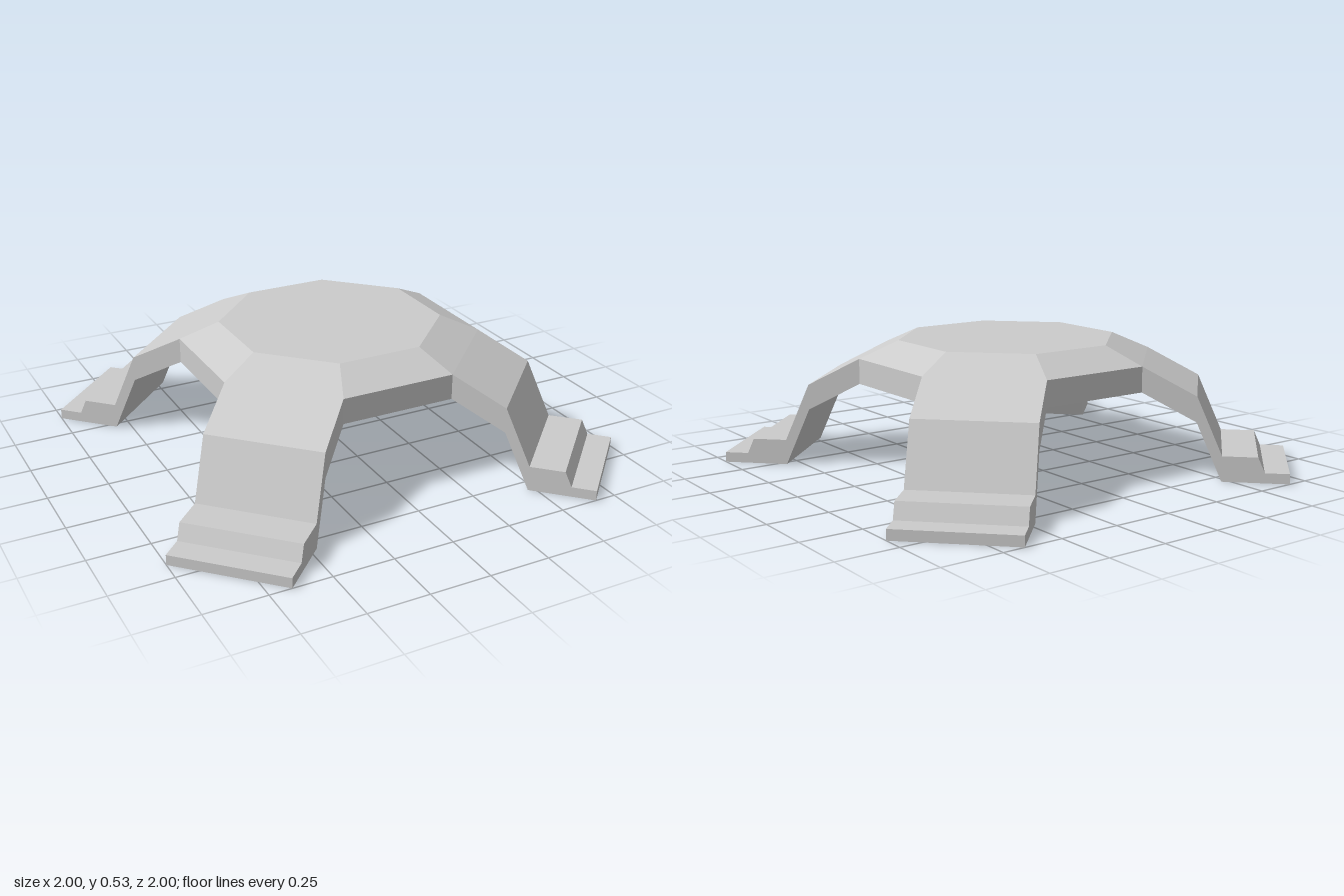
import * as THREE from 'three';

const material = new THREE.MeshStandardMaterial({ color: 0xcccccc, flatShading: true });

// Flat-faced geometry from a list of triangles and quads, corners counter-clockwise
function facesToGeometry(faces) {
  const points = [];
  for (const f of faces) {
    for (let i = 1; i < f.length - 1; i++) points.push(...f[0], ...f[i], ...f[i + 1]);
  }
  const geometry = new THREE.BufferGeometry();
  geometry.setAttribute('position', new THREE.Float32BufferAttribute(points, 3));
  geometry.computeVertexNormals();
  return geometry;
}

// Octagonal hub: outer rim and smaller raised top
const RIM = 0.58, TOP = 0.428;
const RIM_HALF = RIM * Math.tan(Math.PI / 8);
const TOP_HALF = TOP * Math.tan(Math.PI / 8);
const Y_BOTTOM = 0.355, Y_RIM = 0.46, Y_TOP = 0.532;

// One eighth of the hub, facing +z; the rim is left open where a leg joins
function hubSector(withRim) {
  const H = RIM_HALF, h = TOP_HALF;
  const faces = [
    [[-h, Y_TOP, TOP], [h, Y_TOP, TOP], [0, Y_TOP, 0]],
    [[-H, Y_RIM, RIM], [H, Y_RIM, RIM], [h, Y_TOP, TOP], [-h, Y_TOP, TOP]],
    [[H, Y_BOTTOM, RIM], [-H, Y_BOTTOM, RIM], [0, Y_BOTTOM, 0]],
  ];
  if (withRim) {
    faces.push([[-H, Y_BOTTOM, RIM], [H, Y_BOTTOM, RIM], [H, Y_RIM, RIM], [-H, Y_RIM, RIM]]);
  }
  return facesToGeometry(faces);
}

// Leg stations going outwards: [distance, upper y, lower y]
const LEG = [
  [RIM, Y_RIM, Y_BOTTOM],
  [0.80, 0.345, 0.24],
  [0.905, 0.105, 0],
  [1.047, 0.105, 0],
  [1.075, 0.042, 0],
  [1.174, 0.042, 0],
];

// Bent leg with stepped foot, pointing to +z
function legGeometry() {
  const w = RIM_HALF;
  const rings = LEG.map(([z, up, low]) => [[-w, up, z], [w, up, z], [w, low, z], [-w, low, z]]);
  const faces = [];
  for (let i = 0; i < rings.length - 1; i++) {
    const a = rings[i], b = rings[i + 1];
    for (let k = 0; k < 4; k++) {
      const n = (k + 1) % 4;
      faces.push([b[k], b[n], a[n], a[k]]);
    }
  }
  faces.push([...rings[rings.length - 1]].reverse()); // toe
  return facesToGeometry(faces);
}

export function createModel() {
  const model = new THREE.Group();
  model.name = 'fourLeggedBase';

  // Hub of eight sectors
  const hub = new THREE.Group();
  hub.name = 'hub';
  const sideSector = hubSector(true), legSector = hubSector(false);
  for (let i = 0; i < 8; i++) {
    const sector = new THREE.Mesh(i % 2 ? legSector : sideSector, material);
    sector.name = i % 2 ? 'hubLegSector' : 'hubSideSector';
    sector.rotation.y = (i * Math.PI) / 4;
    hub.add(sector);
  }
  model.add(hub);

  // Four diagonal legs
  const leg = legGeometry();
  ['frontLeftLeg', 'backLeftLeg', 'backRightLeg', 'frontRightLeg'].forEach((name, i) => {
    const mesh = new THREE.Mesh(leg, material);
    mesh.name = name;
    mesh.rotation.y = Math.PI / 4 + (i * Math.PI) / 2;
    model.add(mesh);
  });

  return model;
}
